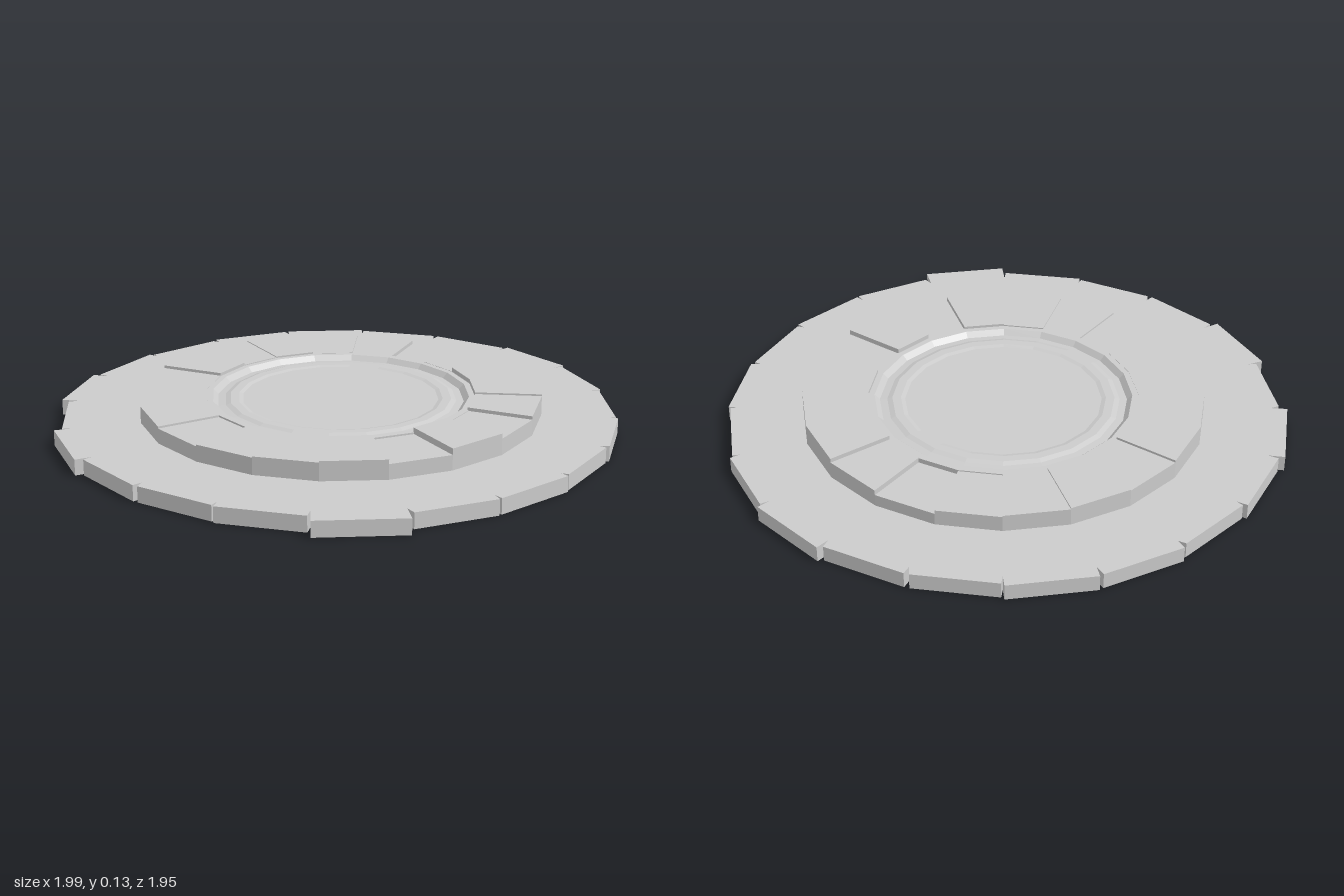
import * as THREE from 'three';

const SIDES = 20;
const STEP = (Math.PI * 2) / SIDES;
const BASE_HEIGHT = 0.055;

// Outer radius of each base slab and height of each ring stone,
// counted anticlockwise from +x as seen from above.
const SLAB_RADII = [0.99, 0.975, 0.975, 0.985, 0.98, 0.967, 0.98, 1.0, 0.972, 1.0,
  0.975, 0.972, 0.98, 1.018, 0.975, 0.972, 0.965, 0.972, 0.965, 0.975];
const STONE_TOPS = [0.115, 0.097, 0.11, 0.115, 0.12, 0.117, 0.125, 0.115, 0.115, 0.115,
  0.108, 0.114, 0.118, 0.123, 0.108, 0.13, 0.112, 0.124, 0.13, 0.13];

export function createModel() {
  const group = new THREE.Group();
  const material = new THREE.MeshStandardMaterial({ color: 0xcccccc, flatShading: true });

  const add = (name, geometry, parent = group) => {
    const mesh = new THREE.Mesh(geometry, material);
    mesh.name = name;
    parent.add(mesh);
    return mesh;
  };

  const polar = (r, a) => new THREE.Vector2(r * Math.cos(a), r * Math.sin(a));

  // Plan outline raised from y = bottom to y = top
  const prism = (points, bottom, top) =>
    new THREE.ExtrudeGeometry(new THREE.Shape(points), { depth: top - bottom, bevelEnabled: false })
      .rotateX(-Math.PI / 2)
      .translate(0, bottom, 0);

  // Base: uneven slab edges with a narrow notch at every joint
  const outline = [];
  SLAB_RADII.forEach((r, i) => {
    const a = i * STEP;
    const gap = 0.005 + 0.004 * (i % 3);
    outline.push(polar(0.94, a), polar(r, a + gap), polar(r, a + STEP - 0.005));
  });
  add('base', prism(outline, 0, BASE_HEIGHT));

  // Ring of wedge stones at slightly different heights
  const ring = new THREE.Group();
  ring.name = 'stoneRing';
  ring.position.set(0.005, 0, -0.005);
  STONE_TOPS.forEach((top, i) => {
    const a = i * STEP;
    const b = a + STEP;
    const corners = [polar(0.473, a), polar(0.705, a), polar(0.705, b), polar(0.473, b)];
    add('ringStone', prism(corners, BASE_HEIGHT - 0.01, top), ring);
  });
  group.add(ring);

  // Centre: rim sloping down to a shallow stepped disc
  const profile = [[0.478, 0.05], [0.478, 0.114], [0.452, 0.114], [0.434, 0.096], [0.408, 0.098],
    [0.39, 0.104], [0.36, 0.104], [0.345, 0.1], [0, 0.1]];
  const centre = new THREE.LatheGeometry(profile.map(([r, y]) => new THREE.Vector2(r, y)), SIDES);
  add('centreDisc', centre).position.set(0.005, 0, -0.005);

  return group;
}
